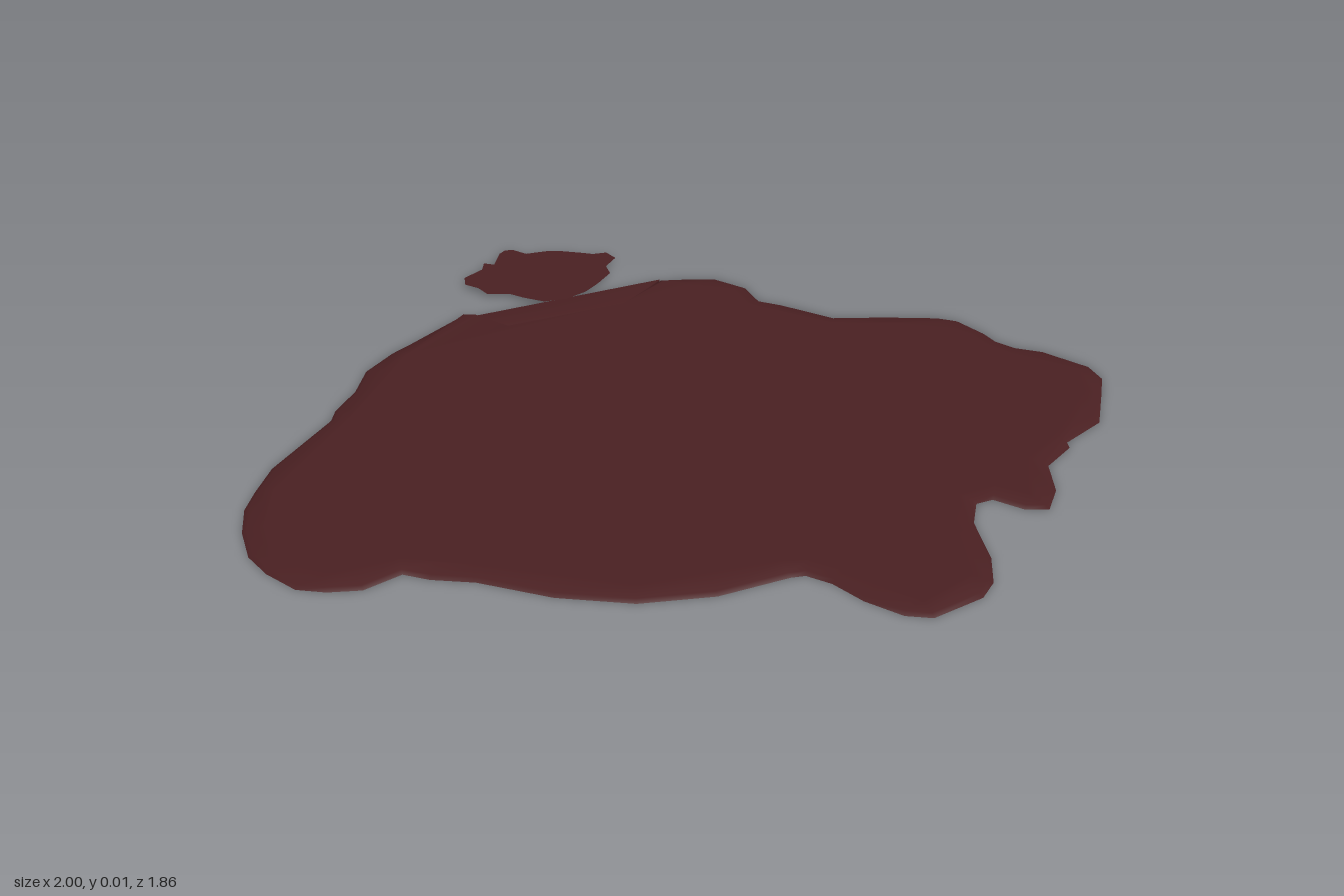
import * as THREE from 'three';

const material = new THREE.MeshStandardMaterial({ color: 0x4a2022, side: THREE.DoubleSide });

// Outlines are [x, z] pairs; an optional third value scales the rim width there.
const poolOutline = [
  [-0.17, -0.67, 0.1], [-0.14, -0.65, 0.1], [-0.1, -0.56, 0.1], [0.2, -0.52, 0.1],
  [0.35, -0.59, 0.4], [0.41, -0.57], [0.48, -0.53], [0.52, -0.45], [0.51, -0.37], [0.55, -0.32],
  [0.62, -0.2], [0.73, -0.14], [0.84, -0.07], [0.875, -0.03], [0.89, 0.05], [0.89, 0.1],
  [0.91, 0.15], [0.955, 0.2], [1, 0.31], [0.99, 0.37], [0.935, 0.43], [0.85, 0.52],
  [0.73, 0.55, 0.5], [0.72, 0.57, 0.5], [0.63, 0.605], [0.58, 0.69], [0.52, 0.74], [0.475, 0.715],
  [0.44, 0.65], [0.4, 0.645], [0.35, 0.7], [0.3, 0.82], [0.25, 0.89], [0.2, 0.92],
  [0.075, 0.925], [0.03, 0.89], [-0.01, 0.81], [-0.03, 0.73], [-0.06, 0.68], [-0.09, 0.67],
  [-0.25, 0.65], [-0.4, 0.59], [-0.53, 0.49], [-0.64, 0.365], [-0.715, 0.31], [-0.755, 0.265],
  [-0.845, 0.275], [-0.91, 0.245], [-0.96, 0.205], [-0.99, 0.125], [-1, 0.05], [-0.98, -0.04],
  [-0.945, -0.12], [-0.9, -0.175], [-0.835, -0.245], [-0.645, -0.37], [-0.62, -0.405],
  [-0.545, -0.465], [-0.485, -0.54], [-0.395, -0.59],
];

const ledgeOutline = [[-0.14, -0.65], [0.35, -0.59], [0.2, -0.52], [-0.1, -0.56]];

const splashOutline = [
  [0, -0.895], [0.02, -0.875], [0.06, -0.925], [0.08, -0.935], [0.1, -0.93], [0.12, -0.89],
  [0.18, -0.875], [0.21, -0.855], [0.25, -0.82], [0.27, -0.8], [0.305, -0.79], [0.31, -0.75],
  [0.265, -0.72], [0.255, -0.68], [0.2, -0.645], [0.15, -0.62], [0.09, -0.61], [0.035, -0.625],
  [0, -0.67], [-0.02, -0.705], [-0.07, -0.735], [-0.075, -0.775], [-0.095, -0.81],
  [-0.08, -0.845], [-0.02, -0.865],
];

// Thin slab: flat base, a rim of rings [inset, y], and a flat top on the last ring.
function slab(outline, rings) {
  const n = outline.length;
  const positions = [];
  const index = [];
  const inward = outline.map((p, i) => {
    const a = outline[(i + n - 1) % n], b = outline[(i + 1) % n];
    return new THREE.Vector2(a[1] - b[1], b[0] - a[0]).normalize().multiplyScalar(p[2] ?? 1);
  });
  const addRing = (inset, y) => outline.forEach((p, i) =>
    positions.push(p[0] + inward[i].x * inset, y, p[1] + inward[i].y * inset));

  rings.forEach(([inset, y]) => addRing(inset, y));
  for (let r = 0; r < rings.length - 1; r++) {
    for (let i = 0; i < n; i++) {
      const a = r * n + i, b = r * n + (i + 1) % n;
      index.push(a, a + n, b, b, a + n, b + n);
    }
  }

  // Caps: the base has its own corners so its edge stays sharp
  const base = rings.length * n, top = base - n;
  addRing(...rings[0]);
  const cap = (start) => {
    const pts = [];
    for (let i = start; i < start + n; i++) pts.push(new THREE.Vector2(positions[i * 3], positions[i * 3 + 2]));
    return THREE.ShapeUtils.triangulateShape(pts, []);
  };
  cap(top).forEach(([a, b, c]) => index.push(top + a, top + c, top + b));
  cap(base).forEach(([a, b, c]) => index.push(base + a, base + b, base + c));

  const geometry = new THREE.BufferGeometry();
  geometry.setAttribute('position', new THREE.Float32BufferAttribute(positions, 3));
  geometry.setIndex(index);
  geometry.computeVertexNormals();
  return geometry;
}

export function createModel() {
  const group = new THREE.Group();
  const add = (name, geometry) => {
    const mesh = new THREE.Mesh(geometry, material);
    mesh.name = name;
    group.add(mesh);
    return mesh;
  };

  // Main pool with a low rounded rim
  add('pool', slab(poolOutline, [[0, 0], [0.01, 0.006], [0.045, 0.012]]));

  // Slightly lower strip along the straight back edge
  add('backLedge', slab(ledgeOutline, [[0, 0], [0, 0.008]]));

  // Separate flat splash behind the pool
  const shape = new THREE.Shape(splashOutline.map(([x, z]) => new THREE.Vector2(x, -z)));
  add('splash', new THREE.ShapeGeometry(shape).rotateX(-Math.PI / 2)).position.y = 0.012;

  return group;
}
